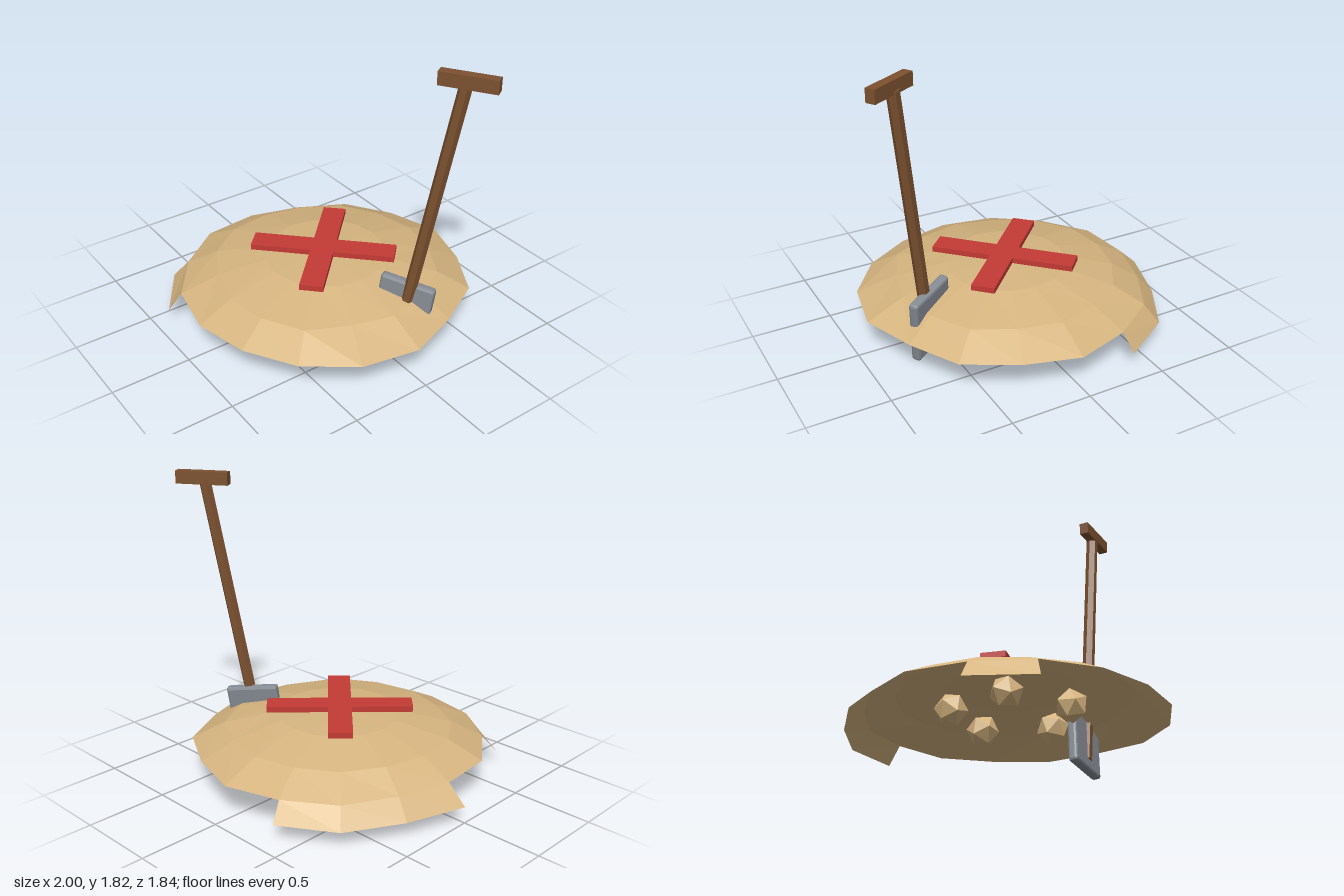
import * as THREE from 'three';
import { RoundedBoxGeometry } from 'three/addons/geometries/RoundedBoxGeometry.js';

const SIDES = 16;

// flat facets without changing the material
function faceted(geometry) {
  const g = geometry.index ? geometry.toNonIndexed() : geometry;
  g.computeVertexNormals();
  return g;
}

function addMesh(parent, name, geometry, material) {
  const mesh = new THREE.Mesh(geometry, material);
  mesh.name = name;
  parent.add(mesh);
  return mesh;
}

// shallow faceted mound: rings of slightly uneven radius, open underneath
function moundGeometry() {
  const crest = Array(SIDES).fill(0.38);
  const shoulder = [0.7, 0.68, 0.72, 0.7, 0.7, 0.68, 0.7, 0.71, 0.69, 0.68, 0.69, 0.68, 0.69, 0.68, 0.71, 0.69];
  const rim = [0.93, 0.93, 0.912, 0.897, 0.91, 0.914, 0.898, 0.918, 0.88, 0.85, 0.885, 0.884, 0.92, 0.886, 0.912, 0.877];
  const skirt = [1, 1, 1, 1, 1, 0.998, 1, 1, 1, 0.953, 0.983, 0.967, 1, 1, 1, 1];
  const rings = [Array(SIDES).fill(0), crest, shoulder, rim, skirt];
  const heights = [0.42, 0.4, 0.328, 0.225, 0.112];
  const skirtPanels = [5, 8, 9, 10]; // only these panels reach down to the lowest ring
  const pos = [];
  const point = (row, i) => {
    const k = i % SIDES;
    const a = (k / SIDES) * Math.PI * 2;
    const r = rings[row][k];
    return [r * Math.cos(a), heights[row], r * Math.sin(a)];
  };
  for (let row = 0; row < 4; row++) {
    for (let i = 0; i < SIDES; i++) {
      if (row === 3 && !skirtPanels.includes(i)) continue;
      const a = point(row, i), b = point(row, i + 1);
      const c = point(row + 1, i), d = point(row + 1, i + 1);
      if (row > 0) pos.push(...a, ...b, ...c);
      pos.push(...b, ...d, ...c);
    }
  }
  const g = new THREE.BufferGeometry();
  g.setAttribute('position', new THREE.Float32BufferAttribute(pos, 3));
  return faceted(g);
}

export function createModel() {
  const sand = new THREE.MeshStandardMaterial({ color: 0xd6b580, side: THREE.DoubleSide });
  sand.name = 'sand';
  const red = new THREE.MeshStandardMaterial({ color: 0xc43a35 });
  red.name = 'red paint';
  const wood = new THREE.MeshStandardMaterial({ color: 0x7d5230 });
  wood.name = 'wood';
  const metal = new THREE.MeshStandardMaterial({ color: 0x868c94 });
  metal.name = 'metal';

  const model = new THREE.Group();
  model.name = 'treasureSpot';

  addMesh(model, 'sandMound', moundGeometry(), sand);

  // ring of clumps under the mound
  for (let i = 0; i < 5; i++) {
    const a = -Math.PI / 2 + (i / 5) * Math.PI * 2;
    const clump = addMesh(model, 'sandClump', new THREE.IcosahedronGeometry(0.1, 0), sand);
    clump.position.set(0.36 * Math.cos(a), 0.25, 0.36 * Math.sin(a));
    clump.rotation.set(0.5, i * 1.3, 0.2);
  }

  // crossed bars lying on top
  const cross = new THREE.Group();
  cross.name = 'cross';
  cross.position.set(0, 0.437, 0.01);
  for (const s of [-1, 1]) {
    addMesh(cross, 'crossBar', new THREE.BoxGeometry(0.9, 0.035, 0.145), red).rotation.y = s * Math.PI / 4;
  }
  model.add(cross);

  // leaning shovel
  const shovel = new THREE.Group();
  shovel.name = 'shovel';
  model.add(shovel);

  const foot = new THREE.Vector3(0.59, 0.1, -0.133);
  const head = new THREE.Vector3(0.827, 1.77, -0.317);
  const along = head.clone().sub(foot);
  const shaft = addMesh(shovel, 'shaft',
    faceted(new THREE.CylinderGeometry(0.038, 0.038, along.length(), 6)), wood);
  shaft.position.copy(foot).add(head).multiplyScalar(0.5);
  shaft.quaternion.setFromUnitVectors(new THREE.Vector3(0, 1, 0), along.normalize());

  const grip = addMesh(shovel, 'grip', new THREE.BoxGeometry(0.332, 0.08, 0.06), wood);
  grip.position.set(0.843, 1.79, -0.32);
  grip.rotation.y = THREE.MathUtils.degToRad(31.5);

  const blade = addMesh(shovel, 'blade',
    faceted(new RoundedBoxGeometry(0.34, 0.42, 0.06, 1, 0.016)), metal);
  const up = new THREE.Vector3(0.07, 1, -0.13).normalize();
  const normal = new THREE.Vector3(0.28, -0.05, -0.165).cross(up).normalize();
  const across = up.clone().cross(normal);
  blade.quaternion.setFromRotationMatrix(new THREE.Matrix4().makeBasis(across, up, normal));
  blade.position.set(0.592, 0.24, -0.153);

  return model;
}
